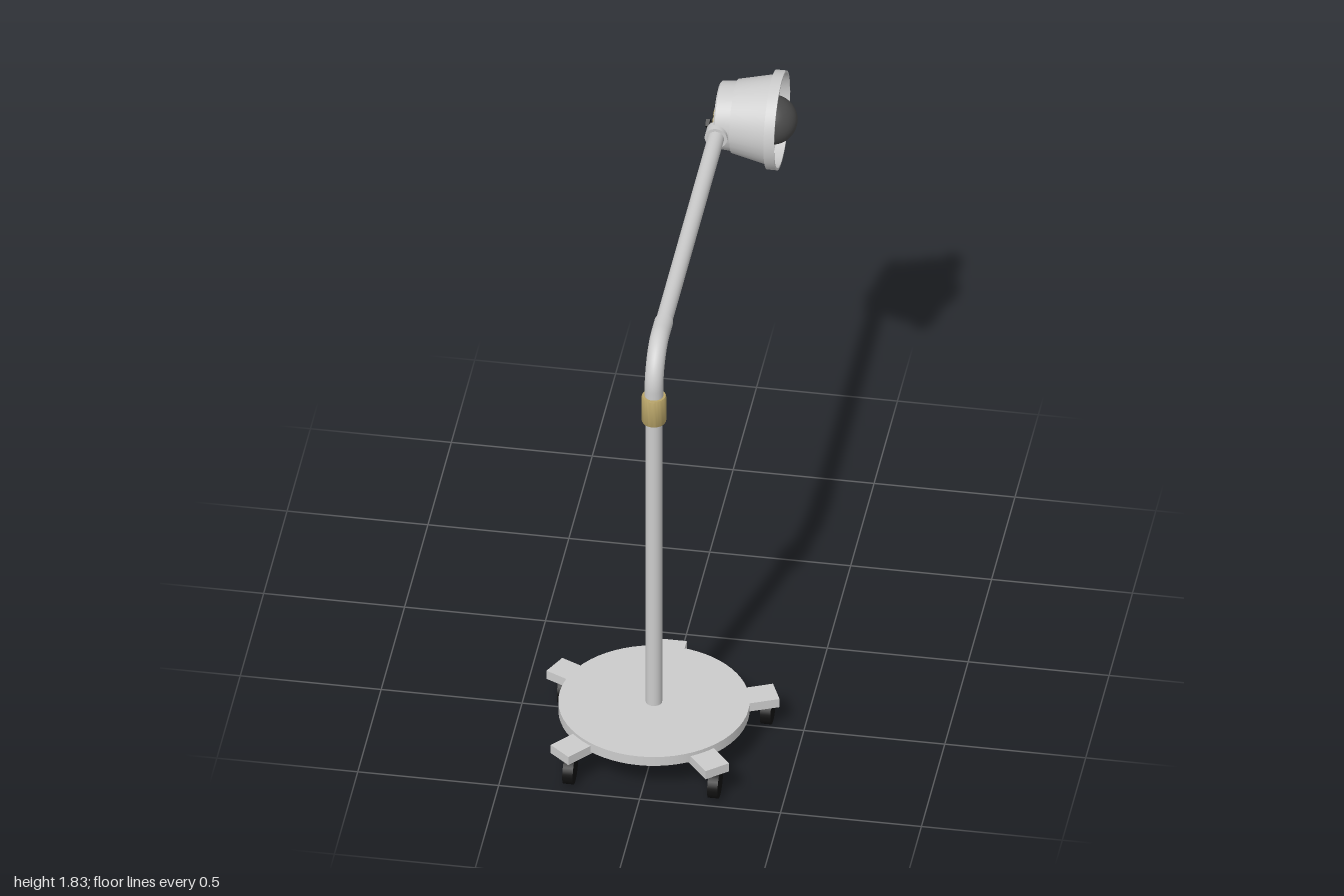
import * as THREE from 'three';
import { toCreasedNormals } from 'three/addons/utils/BufferGeometryUtils.js';

const material = (color, side = THREE.FrontSide) => new THREE.MeshStandardMaterial({ color, side });
const GREY = material(0xcccccc);
const SHELL = material(0xcccccc, THREE.DoubleSide);
const BLACK = material(0x111111);
const BRASS = material(0xb8a468);
const BULB = material(0x4a4a4a);

const POST_X = -0.01, POST_Z = 0.632, ARM_Y = 1.648;

export function createModel() {
  const model = new THREE.Group();
  model.name = 'floorLamp';

  const add = (parent, name, geometry, mat, x = 0, y = 0, z = 0) => {
    const mesh = new THREE.Mesh(geometry, mat);
    mesh.name = name;
    mesh.position.set(x, y, z);
    parent.add(mesh);
    return mesh;
  };
  const cylinder = (r, h, sides = 32) => new THREE.CylinderGeometry(r, r, h, sides);
  const lathe = (points, sides = 48) => toCreasedNormals(
    new THREE.LatheGeometry(points.map(([r, y]) => new THREE.Vector2(r, y)), sides), 0.5);

  // Base disc, post and brass collar
  add(model, 'baseDisc', cylinder(0.335, 0.038, 64), GREY, POST_X, 0.141, POST_Z);
  add(model, 'post', cylinder(0.029, 1.36), GREY, POST_X, 0.71, POST_Z);
  add(model, 'hub', cylinder(0.045, 0.03), GREY, POST_X, 0.04, POST_Z);
  add(model, 'collar', lathe([[0, 0], [0.041, 0], [0.043, 0.004], [0.043, 0.106],
    [0.041, 0.11], [0, 0.11]]), BRASS, POST_X, 1.37, POST_Z);

  // Five cranked legs with casters: tip offset from the post, lift, caster position
  const legs = [
    [0, -0.415, 0.095, -0.002, 0.237],
    [0.405, -0.175, 0.091, 0.366, 0.462],
    [-0.385, -0.19, 0.104, -0.356, 0.455],
    [0.28, 0.335, 0.111, 0.256, 0.93],
    [-0.28, 0.332, 0.113, -0.258, 0.93],
  ];
  for (const [dx, dz, lift, casterX, casterZ] of legs) {
    const length = Math.hypot(dx, dz);
    const profile = new THREE.Shape([
      [0, 0.02], [length - 0.14, lift], [length, lift], [length, lift + 0.035],
      [length - 0.15, lift + 0.035], [0, 0.055],
    ].map(([x, y]) => new THREE.Vector2(x, y)));
    const legGeometry = new THREE.ExtrudeGeometry(profile, { depth: 0.095, bevelEnabled: false });
    legGeometry.translate(0, 0, -0.0475);
    const leg = add(model, 'leg', legGeometry, GREY, POST_X, 0, POST_Z);
    leg.rotation.y = Math.atan2(-dz, dx);

    const wheel = cylinder(0.053, 0.037, 28);
    wheel.rotateZ(Math.PI / 2);
    wheel.scale(1, 1, 1.12);
    add(model, 'casterWheel', wheel, BLACK, casterX, 0.053, casterZ);
    add(model, 'casterStem', cylinder(0.012, 0.06, 12), BLACK, casterX, 0.09, casterZ);
  }

  // Bent elbow tube and the thinner arm
  const elbow = new THREE.CurvePath();
  const v = (y, z) => new THREE.Vector3(POST_X, y, z);
  const bend = 0.14, k = bend * 0.448;
  elbow.add(new THREE.LineCurve3(v(1.46, POST_Z), v(ARM_Y - bend, POST_Z)));
  elbow.add(new THREE.CubicBezierCurve3(v(ARM_Y - bend, POST_Z), v(ARM_Y - k, POST_Z),
    v(ARM_Y, POST_Z - k), v(ARM_Y, POST_Z - bend)));
  elbow.add(new THREE.LineCurve3(v(ARM_Y, POST_Z - bend), v(ARM_Y, 0.42)));
  add(model, 'elbow', new THREE.TubeGeometry(elbow, 48, 0.033, 28), SHELL);
  const arm = cylinder(0.029, 1.17);
  arm.rotateX(Math.PI / 2);
  add(model, 'arm', arm, GREY, POST_X, ARM_Y, -0.125);

  // Joint between arm and lamp head
  const joint = cylinder(0.04, 0.045);
  joint.rotateX(Math.PI / 2);
  add(model, 'joint', joint, GREY, POST_X, ARM_Y, -0.713);

  // Lamp head, its axis along +x
  const head = new THREE.Group();
  head.name = 'lampHead';
  head.position.set(0, 1.653, -0.828);
  head.rotation.z = -Math.PI / 2;
  model.add(head);
  add(head, 'shade', lathe([
    [0, -0.024], [0.113, -0.024], [0.12, -0.018], [0.124, 0.036], [0.131, 0.036],
    [0.16, 0.165], [0.176, 0.165], [0.176, 0.202], [0.168, 0.202], [0.166, 0.168],
    [0.152, 0.158], [0.09, 0.06], [0, 0.05],
  ], 56), SHELL);
  add(head, 'bulb', new THREE.SphereGeometry(0.088, 40, 28), BULB, 0, 0.168, 0);
  add(head, 'socket', cylinder(0.04, 0.06), GREY, 0, 0.075, 0);

  // Vent slots across the back
  for (let i = -4; i <= 4; i++) {
    const offset = i * 0.022;
    const span = 2 * Math.sqrt(0.104 ** 2 - offset ** 2);
    add(head, 'ventSlot', new THREE.BoxGeometry(span, 0.004, 0.01), BLACK, 0, -0.0245, offset);
  }

  // Brass pivot plate with a small black knob
  add(head, 'pivotPlate', cylinder(0.048, 0.008), BRASS, 0, -0.028, 0.035);
  add(head, 'pivotStrap', new THREE.BoxGeometry(0.04, 0.008, 0.08), BRASS, 0, -0.028, 0.075);
  add(head, 'knobStem', cylinder(0.008, 0.03, 12), BLACK, 0, -0.04, 0.06);
  add(head, 'knob', new THREE.BoxGeometry(0.034, 0.014, 0.026), BLACK, 0, -0.05, 0.06)
    .rotation.y = Math.PI / 4;

  return model;
}
